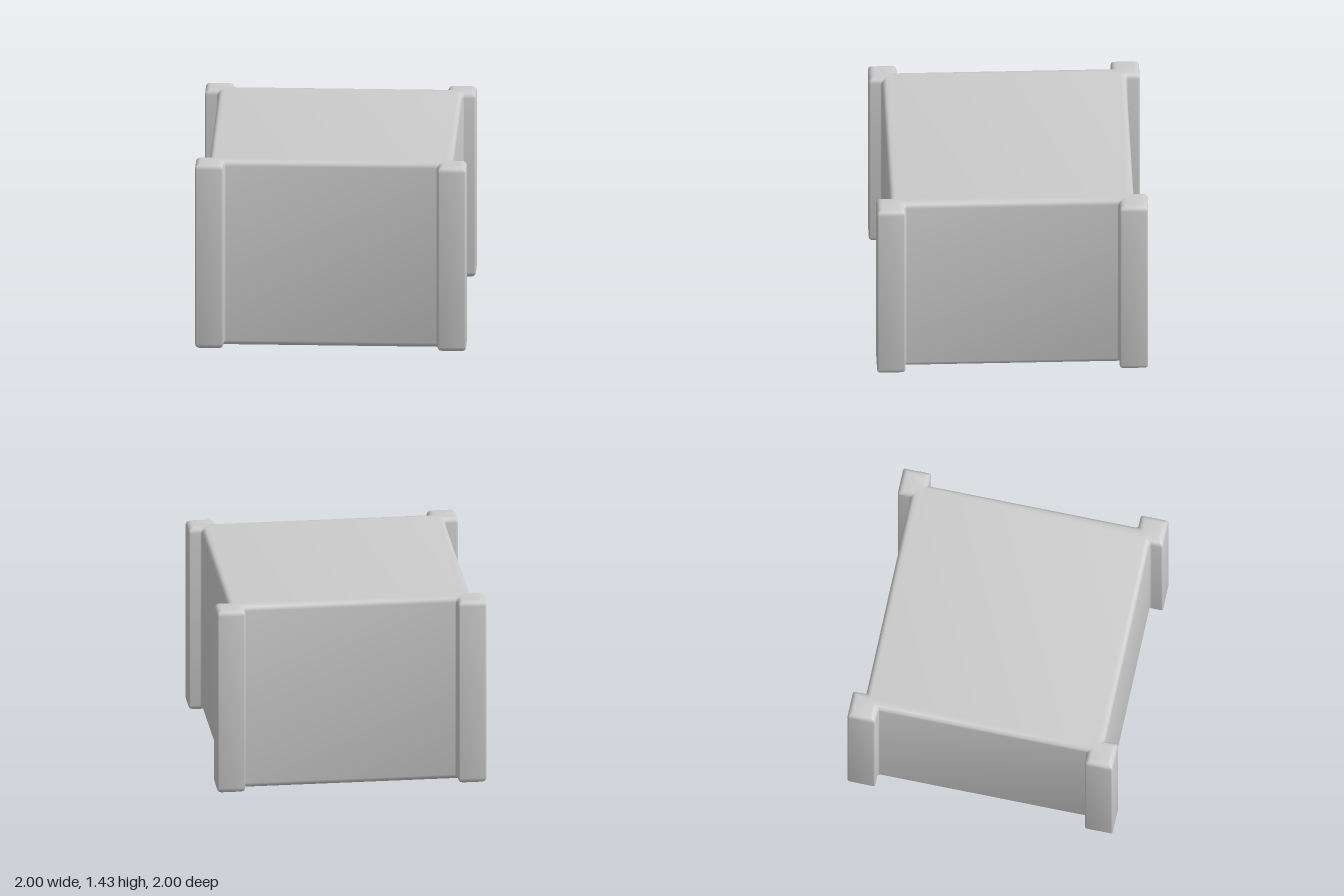
import * as THREE from 'three';
import { toCreasedNormals } from 'three/addons/utils/BufferGeometryUtils.js';

const HEIGHT = 1.43, POST = 1, WALL = 0.9, POST_INNER = 0.79;
const BEVEL = 0.04, FILLET = 0.014, STEPS = 4;

// Plan outline (x, z) of a square body with four corner posts, inset by d
function outline(d) {
  const a = POST - d, b = WALL - d, p = POST_INNER + d;
  const corners = [];
  let quarter = [[b, p], [a, p], [a, a], [p, a], [p, b]];
  for (let q = 0; q < 4; q++) {
    for (const [x, z] of quarter) corners.push(new THREE.Vector2(x, z));
    quarter = quarter.map(([x, z]) => [-z, x]);
  }
  // Soften every corner with a small fillet
  const points = [], n = corners.length;
  corners.forEach((c, i) => {
    const toward = (o) => c.clone().add(o.clone().sub(c).setLength(FILLET));
    const curve = new THREE.QuadraticBezierCurve(
      toward(corners[(i + n - 1) % n]), c, toward(corners[(i + 1) % n]));
    points.push(...curve.getPoints(3));
  });
  return points;
}

// Stack of outlines with rounded bottom and top rims, closed by two caps
function crateGeometry() {
  const rings = [];
  for (const top of [false, true]) {
    for (let i = 0; i <= STEPS; i++) {
      const t = ((top ? i : STEPS - i) / STEPS) * Math.PI / 2;
      const rim = BEVEL * (1 - Math.sin(t));
      rings.push({ d: BEVEL * (1 - Math.cos(t)), y: top ? HEIGHT - rim : rim });
    }
  }
  const positions = [], index = [];
  const n = outline(0).length;
  for (const { d, y } of rings) {
    for (const p of outline(d)) positions.push(p.x, y, p.y);
  }
  for (let r = 0; r < rings.length - 1; r++) {
    for (let i = 0; i < n; i++) {
      const j = (i + 1) % n, lo = r * n, hi = lo + n;
      index.push(lo + i, hi + i, lo + j, lo + j, hi + i, hi + j);
    }
  }
  const last = (rings.length - 1) * n;
  for (const [a, b, c] of THREE.ShapeUtils.triangulateShape(outline(BEVEL), [])) {
    index.push(a, b, c, last + a, last + c, last + b);
  }
  const geometry = new THREE.BufferGeometry();
  geometry.setAttribute('position', new THREE.Float32BufferAttribute(positions, 3));
  geometry.setIndex(index);
  return toCreasedNormals(geometry, 0.7);
}

export function createModel() {
  const model = new THREE.Group();
  model.name = 'crate';
  const body = new THREE.Mesh(crateGeometry(), new THREE.MeshStandardMaterial({ color: 0xcccccc }));
  body.name = 'bodyWithCornerPosts';
  model.add(body);
  return model;
}
